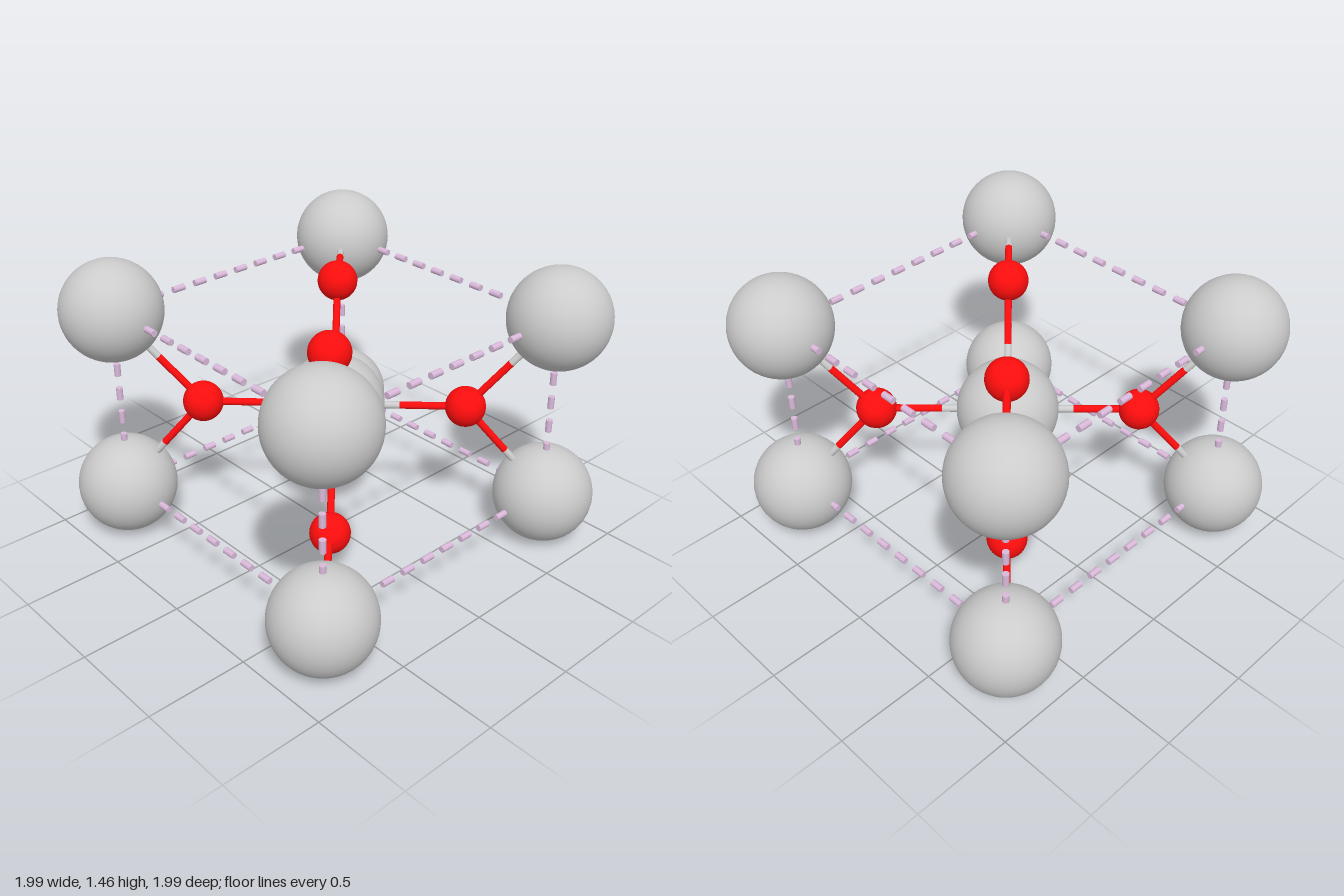
import * as THREE from 'three';

const MID = 0.735;      // height of the cell centre
const HALF = 0.747;     // half cell width
const HALF_H = 0.48;    // half cell height
const UP = new THREE.Vector3(0, 1, 0);

const grey = new THREE.MeshStandardMaterial({ color: 0xcccccc });
const red = new THREE.MeshStandardMaterial({ color: 0xff0d0d });
const pink = new THREE.MeshStandardMaterial({ color: 0xd9b8d9 });

const vec = (x, y, z) => new THREE.Vector3(x, y, z);

export function createModel() {
  const model = new THREE.Group();
  model.name = 'crystalCell';
  const cell = new THREE.Group();
  cell.name = 'cell';
  cell.position.y = MID;
  model.add(cell);

  const metalGeo = new THREE.SphereGeometry(0.25, 48, 32);
  const oxygenGeo = new THREE.SphereGeometry(0.1, 36, 24);

  function atom(name, geometry, material, position) {
    const mesh = new THREE.Mesh(geometry, material);
    mesh.name = name;
    mesh.position.copy(position);
    cell.add(mesh);
  }

  function rod(name, a, b, radius, material) {
    const dir = b.clone().sub(a);
    const mesh = new THREE.Mesh(new THREE.CylinderGeometry(radius, radius, dir.length(), 20), material);
    mesh.name = name;
    mesh.position.copy(a).lerp(b, 0.5);
    mesh.quaternion.setFromUnitVectors(UP, dir.normalize());
    cell.add(mesh);
  }

  // Two-tone bond: grey half at the metal, red half at the oxygen
  function bond(metal, oxygen) {
    const middle = metal.clone().lerp(oxygen, 0.5);
    rod('bondMetalHalf', metal, middle, 0.018, grey);
    rod('bondOxygenHalf', middle, oxygen, 0.018, red);
  }

  // Metal atoms at the centre and the eight corners
  const centre = vec(0, 0, 0);
  atom('centreMetalAtom', metalGeo, grey, centre);
  for (const x of [-1, 1]) for (const y of [-1, 1]) for (const z of [-1, 1]) {
    atom('cornerMetalAtom', metalGeo, grey, vec(x * HALF, y * HALF_H, z * HALF));
  }

  // Oxygen atoms and their bonds
  for (const s of [-1, 1]) {
    // Mid-height oxygens, each shared by the centre and two corners
    const side = vec(s * 0.455, 0, s * 0.455);
    atom('middleOxygenAtom', oxygenGeo, red, side);
    bond(centre, side);
    for (const y of [-HALF_H, HALF_H]) {
      bond(vec(s * HALF, y, s * HALF), side);
      // Oxygens on the top and bottom faces, on the other diagonal
      const face = vec(s * 0.292, y, -s * 0.292);
      atom('faceOxygenAtom', oxygenGeo, red, face);
      bond(centre, face);
      bond(vec(s * HALF, y, -s * HALF), face);
    }
  }

  // Dashed outline: dashes stepped out from the middle of an edge
  function dashedEdge(middle, direction, first, last) {
    for (let k = first; k <= last; k++) {
      const a = middle.clone().addScaledVector(direction, k * 0.13);
      const b = a.clone().addScaledVector(direction, 0.065);
      rod('edgeDash', a, b, 0.016, pink);
    }
  }
  for (const a of [-1, 1]) for (const b of [-1, 1]) {
    dashedEdge(vec(0, a * HALF_H, b * HALF), vec(1, 0, 0), -4, 3);
    dashedEdge(vec(a * HALF, b * HALF_H, 0), vec(0, 0, -1), -4, 3);
    dashedEdge(vec(a * HALF, 0, b * HALF), vec(0, 1, 0), -2, 1);
  }

  return model;
}
